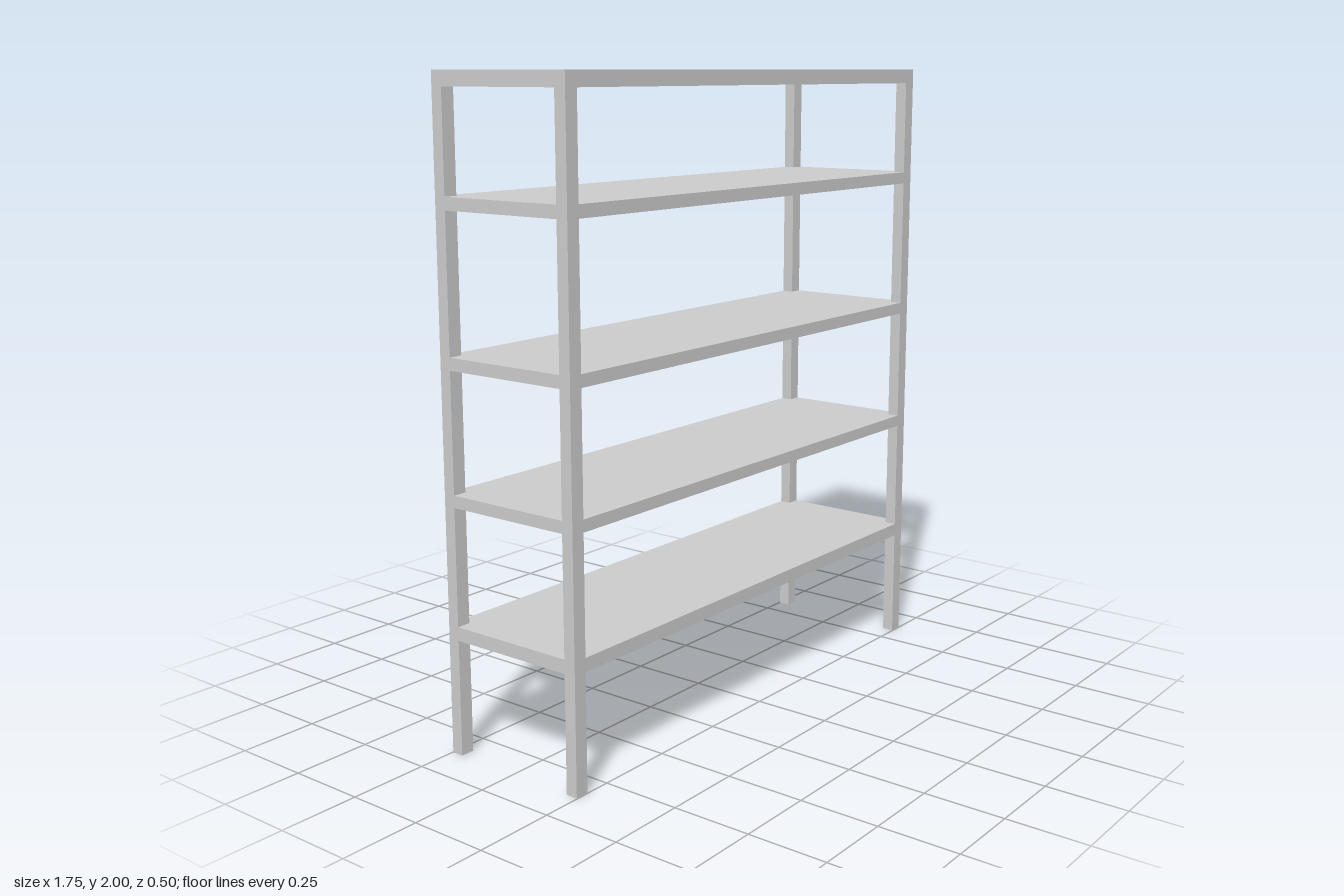
import * as THREE from 'three';

const HALF_X = 0.875, HALF_Z = 0.248; // outer half sizes
const POST_X = 0.045, POST_Z = 0.038; // post section
const PLATE = 0.008;                  // shelf sheet thickness
const HEIGHT = 2;

const material = new THREE.MeshStandardMaterial({ color: 0xcccccc });

function box(name, w, h, d, x, y, z) {
  const mesh = new THREE.Mesh(new THREE.BoxGeometry(w, h, d), material);
  mesh.name = name;
  mesh.position.set(x, y, z);
  return mesh;
}

// Thin sheet with its corners cut out around the posts
function notchedPlate(top) {
  const a = HALF_X, b = HALF_Z, c = HALF_X - POST_X, d = HALF_Z - POST_Z;
  const outline = [[c, -b], [c, -d], [a, -d], [a, d], [c, d], [c, b],
    [-c, b], [-c, d], [-a, d], [-a, -d], [-c, -d], [-c, -b]];
  const shape = new THREE.Shape(outline.map(([x, y]) => new THREE.Vector2(x, y)));
  const geometry = new THREE.ExtrudeGeometry(shape, { depth: PLATE, bevelEnabled: false });
  geometry.rotateX(-Math.PI / 2);
  const mesh = new THREE.Mesh(geometry, material);
  mesh.name = 'shelfPlate';
  mesh.position.y = top - PLATE;
  return mesh;
}

// Shelf: sheet on four rails, open underneath
function createShelf(bottom, top) {
  const shelf = new THREE.Group();
  const h = top - PLATE - bottom, y = bottom + h / 2;
  for (const s of [-1, 1]) {
    shelf.add(box('longRail', 2 * (HALF_X - POST_X), h, POST_Z, 0, y, s * (HALF_Z - POST_Z / 2)));
    shelf.add(box('endRail', POST_X, h, 2 * (HALF_Z - POST_Z), s * (HALF_X - POST_X / 2), y, 0));
  }
  shelf.add(top === HEIGHT
    ? box('topPlate', 2 * HALF_X, PLATE, 2 * HALF_Z, 0, HEIGHT - PLATE / 2, 0)
    : notchedPlate(top));
  return shelf;
}

export function createModel() {
  const model = new THREE.Group();
  model.name = 'shelvingRack';

  // Corner posts, capped by the top plate
  const postHeight = HEIGHT - PLATE;
  for (const sx of [-1, 1]) for (const sz of [-1, 1]) {
    model.add(box('cornerPost', POST_X, postHeight, POST_Z,
      sx * (HALF_X - POST_X / 2), postHeight / 2, sz * (HALF_Z - POST_Z / 2)));
  }

  // Shelves, bottom to top
  const levels = [[0.36, 0.402], [0.763, 0.8], [1.165, 1.203], [1.617, 1.655], [1.955, HEIGHT]];
  levels.forEach(([bottom, top], i) => {
    const shelf = createShelf(bottom, top);
    shelf.name = `shelf${i + 1}`;
    model.add(shelf);
  });
  return model;
}
